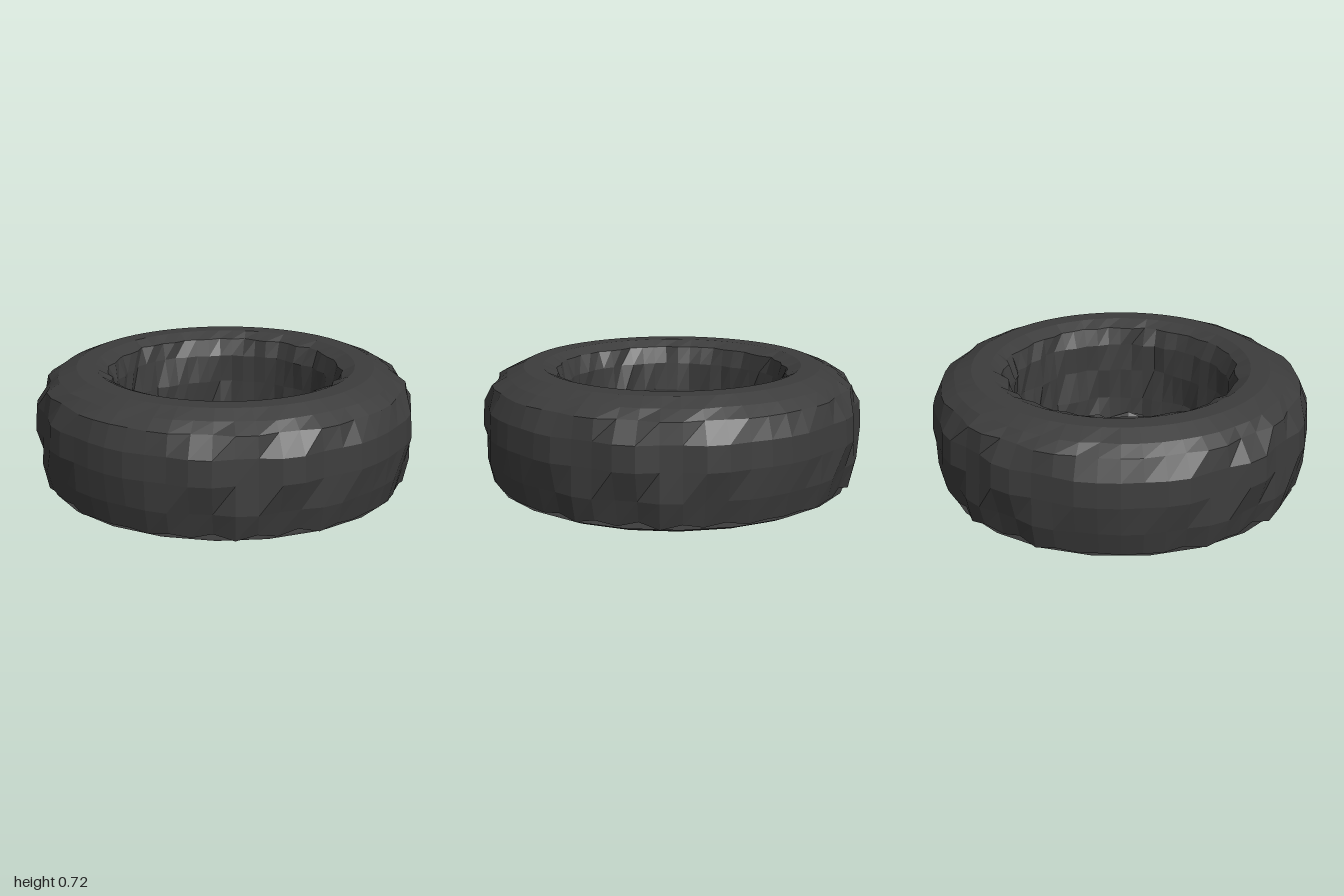
import * as THREE from 'three';

const SEG = 56;
const rubber = new THREE.MeshStandardMaterial({
  color: 0x3c3c3c, flatShading: true, side: THREE.DoubleSide, roughness: 0.9,
});

// Repeatable noise in -1..1 for the worn, uneven facets
function noise(a, b) {
  const s = Math.sin(a * 127.1 + b * 311.7) * 43758.5453;
  return (s - Math.floor(s)) * 2 - 1;
}

// Revolves [radius, y] points; adjust(point, row, column, angle) may move each one
function ring(name, profile, segments, adjust, skip = () => false) {
  const pos = [], index = [];
  profile.forEach(([r, y], row) => {
    for (let i = 0; i < segments; i++) {
      const angle = (i / segments) * Math.PI * 2;
      const p = { r, y };
      if (adjust) adjust(p, row, i, angle);
      pos.push(Math.sin(angle) * p.r, p.y, Math.cos(angle) * p.r);
    }
  });
  for (let row = 0; row < profile.length - 1; row++) {
    for (let i = 0; i < segments; i++) {
      if (skip(row, i)) continue;
      const j = (i + 1) % segments;
      const a = row * segments + i, b = row * segments + j;
      const c = a + segments, d = b + segments;
      index.push(a, b, d, a, d, c);
    }
  }
  const geo = new THREE.BufferGeometry();
  geo.setAttribute('position', new THREE.Float32BufferAttribute(pos, 3));
  geo.setIndex(index);
  geo.computeVertexNormals();
  const mesh = new THREE.Mesh(geo, rubber);
  mesh.name = name;
  return mesh;
}

export function createModel() {
  const group = new THREE.Group();
  group.name = 'tire';

  // Tread, upper sidewall and inner wall, open along the bottom
  const carcass = [
    [0.945, 0.125], [0.975, 0.25], [0.993, 0.40], [0.985, 0.53], [0.94, 0.635],
    [0.87, 0.68], [0.78, 0.72], [0.68, 0.722], [0.61, 0.69],
    [0.58, 0.60], [0.57, 0.45], [0.56, 0.28], [0.545, 0.15],
  ];
  group.add(ring('treadAndSidewall', carcass, SEG, (p, row, i, angle) => {
    // worn smooth at the four sides, blocky in between
    const rough = Math.abs(Math.sin(angle * 2));
    if (row <= 4) {
      const groove = (i + (row === 2 || row === 3 ? 2 : 0)) % 4 < 2 ? -1 : 0.4;
      p.r += 0.02 * rough * groove;
      if (row === 0) p.y += (i % 2 ? 0.016 : -0.012) * rough;
    } else if (row >= 8) {
      p.r += 0.018 * noise(i, row);
      if (row === 12) p.y += i % 4 < 2 ? 0.03 : -0.01;
    } else if (row === 5) {
      p.r += 0.01 * noise(i, row);
    }
  }));

  // Lower sidewall, a separate shallow dish just below the tread
  const lower = [[0.55, 0.058], [0.66, 0.05], [0.79, 0.052], [0.87, 0.08], [0.935, 0.11]];
  group.add(ring('lowerSidewall', lower, 22));

  // Wheel centre: a sunken dish with two slots on the z axis
  const hub = [[0.001, 0], [0.17, 0.003], [0.27, 0.045], [0.33, 0.08], [0.47, 0.14], [0.515, 0.18]];
  const hubSeg = 24;
  const hubMesh = ring('wheelDish', hub, hubSeg, (p, row, i, angle) => {
    // petal folds around the rim
    if (row >= 3) p.y += 0.03 * (i % 3 === 0 ? 1 : -0.4);
    // narrow the two slot openings to parallel sides
    if (row === 3 || row === 4) {
      const s = Math.abs(Math.sin(angle));
      if (s < 0.3) p.r -= 0.01;
    }
  }, (row, i) => row === 3 && (i === 0 || i === hubSeg / 2));
  hubMesh.rotation.y = -Math.PI / hubSeg;
  hubMesh.position.z = -0.02;
  group.add(hubMesh);

  return group;
}
